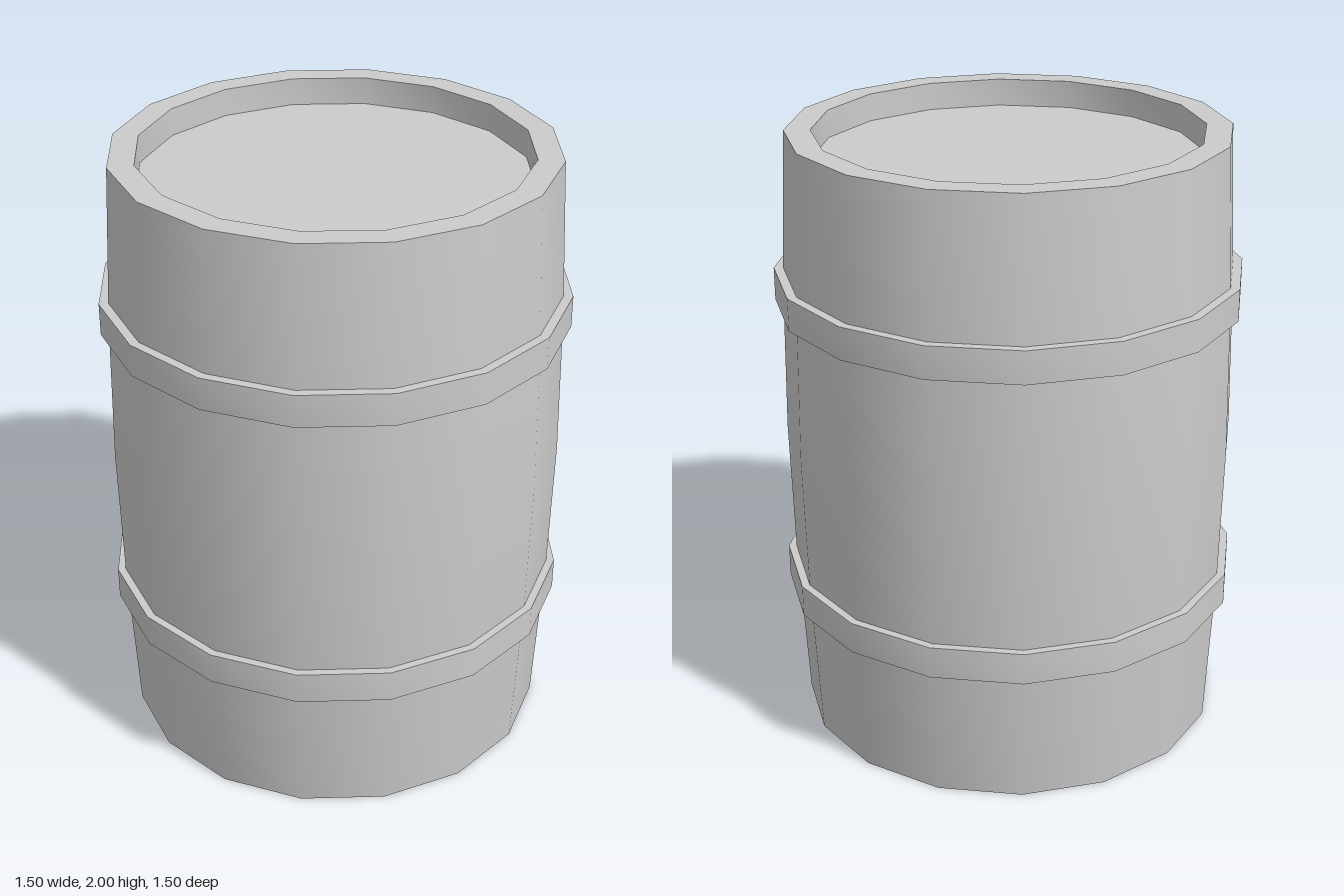
import * as THREE from 'three';
import { toCreasedNormals } from 'three/addons/utils/BufferGeometryUtils.js';

const SIDES = 16;

// Revolves a [radius, height] profile, smooth around the barrel and sharp at the rims
function lathePart(name, profile, material) {
  const points = profile.map(([r, y]) => new THREE.Vector2(r, y));
  const geometry = toCreasedNormals(new THREE.LatheGeometry(points, SIDES), 0.6);
  const mesh = new THREE.Mesh(geometry, material);
  mesh.name = name;
  return mesh;
}

export function createModel() {
  const barrel = new THREE.Group();
  barrel.name = 'barrel';
  const material = new THREE.MeshStandardMaterial({ color: 0xcccccc });

  // Bulging staves with a rim at each end, closed by recessed heads
  barrel.add(lathePart('body', [
    [0, 0.08], [0.63, 0.08], [0.63, 0],
    [0.7, 0], [0.722, 0.45], [0.726, 0.55], [0.735, 1],
    [0.726, 1.45], [0.722, 1.55], [0.7, 2],
    [0.617, 2], [0.617, 1.91], [0, 1.91],
  ], material));

  // Two raised hoops
  const hoops = { lowerHoop: 0.5, upperHoop: 1.5 };
  for (const [name, y] of Object.entries(hoops)) {
    const bottom = y - 0.053, top = y + 0.053;
    barrel.add(lathePart(name, [
      [0.71, bottom], [0.752, bottom], [0.752, top], [0.71, top],
    ], material));
  }

  return barrel;
}
